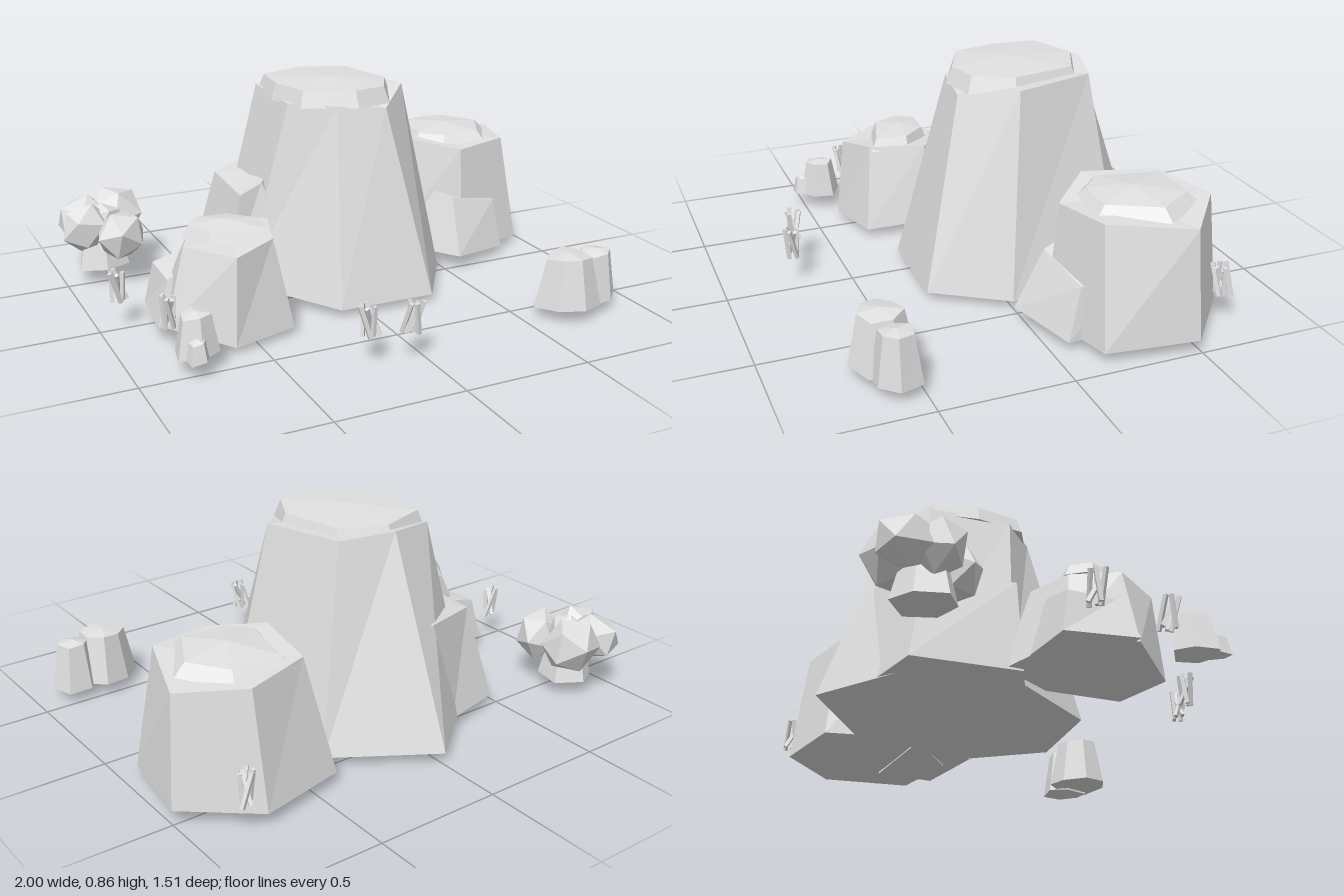
import * as THREE from 'three';

const stone = new THREE.MeshStandardMaterial({ color: 0xe0e0e0, flatShading: true });
stone.name = 'grey stone';

// Closed faceted solid through rings of [x, y, z] corners, lowest ring first
function loft(name, rings, lift = 0) {
  const pts = rings[0];
  const n = pts.length;
  let area = 0;
  for (let i = 0; i < n; i++) {
    const a = pts[i], b = pts[(i + 1) % n];
    area += a[0] * b[2] - b[0] * a[2];
  }
  const rs = area > 0 ? rings.map((r) => [...r].reverse()) : rings;
  const centre = (r, dy) => [0, 1, 2].map((k) => r.reduce((s, p) => s + p[k], 0) / n + (k === 1 ? dy : 0));
  const bottom = centre(rs[0], 0);
  const top = centre(rs[rs.length - 1], lift);
  const v = [];
  for (let i = 0; i < n; i++) {
    const j = (i + 1) % n;
    for (let k = 0; k + 1 < rs.length; k++) {
      const lo = rs[k], hi = rs[k + 1];
      v.push(...lo[i], ...lo[j], ...hi[j], ...lo[i], ...hi[j], ...hi[i]);
    }
    const last = rs[rs.length - 1];
    v.push(...top, ...last[i], ...last[j], ...bottom, ...rs[0][j], ...rs[0][i]);
  }
  const g = new THREE.BufferGeometry();
  g.setAttribute('position', new THREE.Float32BufferAttribute(v, 3));
  g.computeVertexNormals();
  const mesh = new THREE.Mesh(g, stone);
  mesh.name = name;
  return mesh;
}

// Worn cap: an outline flared at the bottom, with a gently peaked top
function cap(name, outline, flare, y0, y1, lift) {
  const cx = outline.reduce((s, p) => s + p[0], 0) / outline.length;
  const cz = outline.reduce((s, p) => s + p[1], 0) / outline.length;
  const ring = (s, y) => outline.map(([x, z]) => [cx + (x - cx) * s, y, cz + (z - cz) * s]);
  return loft(name, [ring(flare, y0), ring(0.97, y1)], lift);
}

// Small tapered boulder with a slightly peaked top
function boulder(name, x, z, r, y0, y1, sides, turn) {
  const ring = (s, y) => Array.from({ length: sides }, (_, i) => {
    const a = turn + (i / sides) * Math.PI * 2;
    const q = r * s * (1 + 0.1 * Math.sin(i * 2.4 + turn));
    return [x + q * Math.cos(a), y + 0.006 * Math.sin(i * 1.7), z - q * Math.sin(a)];
  });
  return loft(name, [ring(1.03, y0), ring(0.7, y1 - 0.012)], 0.012);
}

// Bundle of thin crossing sticks
function twigs(x, z, turn) {
  const g = new THREE.Group();
  g.name = 'twigs';
  const leans = [[-0.022, 0.01, 0.28], [-0.02, -0.015, -0.1], [0.01, 0.015, 0.1], [0.02, -0.01, -0.3], [0, 0, -0.4]];
  leans.forEach(([dx, dz, lean], i) => {
    const m = new THREE.Mesh(new THREE.BoxGeometry(0.015, 0.13 - 0.008 * (i % 3), 0.013), stone);
    m.name = 'twig';
    m.position.set(dx, 0, dz);
    m.rotation.set(lean * 0.4 * (i % 2 ? 1 : -1), i * 0.9, lean);
    g.add(m);
  });
  g.position.set(x, 0.172, z);
  g.rotation.y = turn;
  return g;
}

export function createModel() {
  const model = new THREE.Group();
  model.name = 'rocks';

  // Tall central rock
  model.add(loft('mainRock', [
    [[-0.38, 0.05, -0.1], [-0.12, 0.03, 0.27], [0.275, 0.03, 0.28], [0.46, 0.03, 0], [0.37, 0.04, -0.5], [-0.01, 0.04, -0.74], [-0.37, 0.05, -0.45]],
    [[-0.2, 0.79, -0.05], [-0.05, 0.79, 0.08], [0.15, 0.77, 0.105], [0.315, 0.815, -0.08], [0.23, 0.82, -0.4], [0.02, 0.83, -0.46], [-0.2, 0.8, -0.38]],
  ]));
  model.add(cap('mainCap', [[-0.18, -0.36], [0.02, -0.43], [0.2, -0.35], [0.25, -0.09], [0.17, 0.06], [0.03, 0.09], [-0.16, 0], [-0.2, -0.18]], 1.07, 0.78, 0.845, 0.015));
  model.add(loft('mainOutcrop', [
    [[-0.455, 0.05, -0.51], [-0.455, 0.05, -0.09], [-0.12, 0, 0.05], [0.12, 0.035, -0.2], [-0.2, 0.05, -0.57]],
    [[-0.37, 0.43, -0.44], [-0.39, 0.43, -0.09], [-0.3, 0.47, -0.09], [-0.08, 0.48, -0.45], [-0.09, 0.47, -0.56]],
  ]));

  // Broad rock on the left
  model.add(loft('leftRock', [
    [[0.4, 0.05, -0.62], [0.375, 0.06, -0.26], [0.62, 0.04, -0.06], [0.94, 0.04, -0.14], [0.998, 0.05, -0.49], [0.745, 0.05, -0.7]],
    [[0.5, 0.51, -0.56], [0.45, 0.52, -0.27], [0.62, 0.49, -0.1], [0.86, 0.5, -0.16], [0.968, 0.475, -0.47], [0.76, 0.5, -0.64]],
  ]));
  model.add(cap('leftCap', [[0.52, -0.29], [0.57, -0.54], [0.77, -0.54], [0.87, -0.39], [0.77, -0.2], [0.6, -0.21]], 1.22, 0.485, 0.528, 0.02));
  model.add(loft('leftOutcrop', [
    [[0.4, 0.05, -0.24], [0.55, 0.06, 0.035], [0.82, 0.035, -0.06], [0.8, 0.035, -0.3]],
    [[0.51, 0.31, -0.2], [0.57, 0.29, -0.07], [0.8, 0.24, -0.11], [0.8, 0.24, -0.25]],
  ]));

  // Low rock on the right
  model.add(loft('rightRock', [
    [[-0.43, 0.06, -0.155], [-0.76, 0.06, -0.04], [-0.8, 0.06, 0.2], [-0.6, 0.02, 0.39], [-0.345, 0.03, 0.33], [-0.285, 0.06, 0.06]],
    [[-0.45, 0.37, -0.06], [-0.64, 0.36, 0.01], [-0.72, 0.36, 0.18], [-0.58, 0.355, 0.362], [-0.41, 0.38, 0.29], [-0.345, 0.38, 0.07]],
  ]));
  model.add(cap('rightCap', [[-0.67, 0.09], [-0.62, 0.02], [-0.49, 0.03], [-0.4, 0.13], [-0.42, 0.26], [-0.62, 0.2]], 1.18, 0.36, 0.41, 0.015));
  model.add(loft('rightOutcrop', [
    [[-0.8, 0.06, -0.08], [-0.83, 0.06, 0.19], [-0.66, 0.06, 0.16], [-0.57, 0.06, -0.11]],
    [[-0.77, 0.23, -0.05], [-0.77, 0.22, 0.13], [-0.67, 0.26, 0.11], [-0.6, 0.27, -0.06]],
  ]));

  // Small boulders around the front
  model.add(boulder('frontBoulder', 0.69, 0.6, 0.12, 0.045, 0.25, 7, 0.3));
  model.add(boulder('frontBoulder', 0.83, 0.585, 0.088, 0.04, 0.24, 6, 0.9));
  model.add(boulder('sideBoulder', -0.765, 0.43, 0.083, 0.06, 0.215, 6, 0.5));
  model.add(boulder('sideBoulder', -0.785, 0.5, 0.045, 0.06, 0.14, 5, 0.2));

  // Knobbly clump at the back: lumps resting on a stump
  model.add(boulder('clumpStump', -0.83, -0.56, 0.11, 0.06, 0.22, 6, 0.4));
  const lumps = [
    [-0.89, 0.24, -0.64, 0.115], [-0.75, 0.24, -0.65, 0.125], [-0.78, 0.21, -0.45, 0.11],
    [-0.9, 0.23, -0.54, 0.11], [-0.82, 0.25, -0.56, 0.08],
  ];
  lumps.forEach(([x, y, z, r], i) => {
    const m = new THREE.Mesh(new THREE.IcosahedronGeometry(r, 0), stone);
    m.name = 'clumpLump';
    m.position.set(x, y, z);
    m.rotation.set(i * 0.7, i * 1.3, 0.4);
    m.scale.y = 0.85;
    model.add(m);
  });

  // Twig bundles
  [[-0.92, -0.01, 0.5], [-0.82, 0.3, 1], [-0.21, 0.68, 0], [-0.06, 0.72, 2.6], [0.82, -0.68, 0.8]]
    .forEach(([x, z, turn]) => model.add(twigs(x, z, turn)));

  return model;
}
